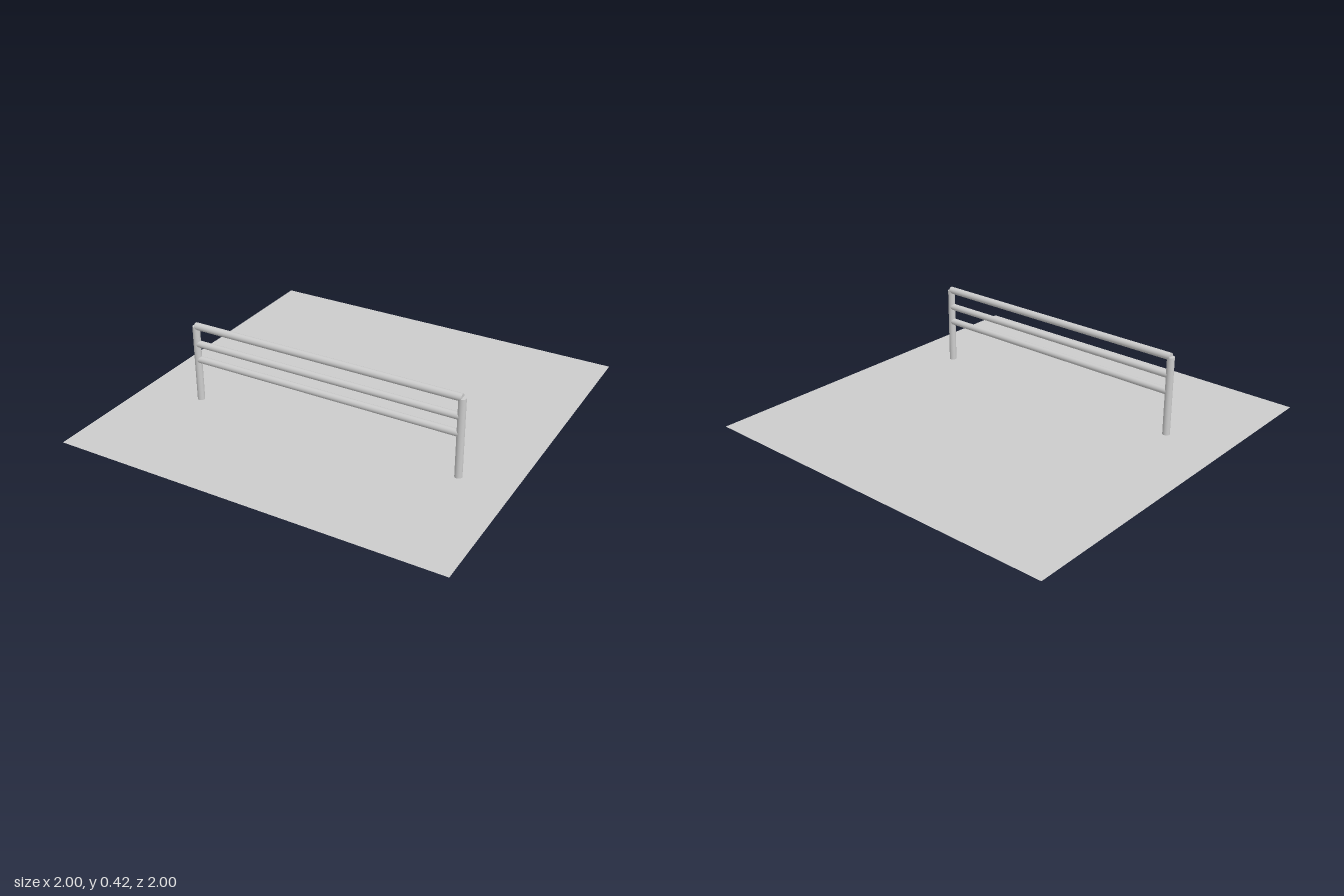
import * as THREE from 'three';

const LEFT_X = 0.737, RIGHT_X = -0.682, RAIL_Z = 0.342, TOP_Y = 0.405;

export function createModel() {
  const group = new THREE.Group();
  const material = new THREE.MeshStandardMaterial({ color: 0xcccccc });

  const addTube = (name, radius, length, x, y) => {
    const mesh = new THREE.Mesh(new THREE.CylinderGeometry(radius, radius, length, 32), material);
    mesh.name = name;
    mesh.position.set(x, y, RAIL_Z);
    group.add(mesh);
    return mesh;
  };

  // Flat ground sheet, visible from both sides
  const ground = new THREE.Mesh(
    new THREE.PlaneGeometry(2, 2).rotateX(-Math.PI / 2),
    new THREE.MeshStandardMaterial({ color: 0xcccccc, side: THREE.DoubleSide })
  );
  ground.name = 'groundSheet';
  group.add(ground);

  // Two upright posts
  addTube('leftPost', 0.0185, TOP_Y, LEFT_X, TOP_Y / 2);
  addTube('rightPost', 0.0185, TOP_Y, RIGHT_X, TOP_Y / 2);

  // Three horizontal rails running between the post centres
  const rails = [['topRail', 0.0185, 0.406], ['middleRail', 0.0175, 0.311], ['lowerRail', 0.0175, 0.225]];
  for (const [name, radius, y] of rails) {
    addTube(name, radius, LEFT_X - RIGHT_X, (LEFT_X + RIGHT_X) / 2, y).rotation.z = Math.PI / 2;
  }

  return group;
}
